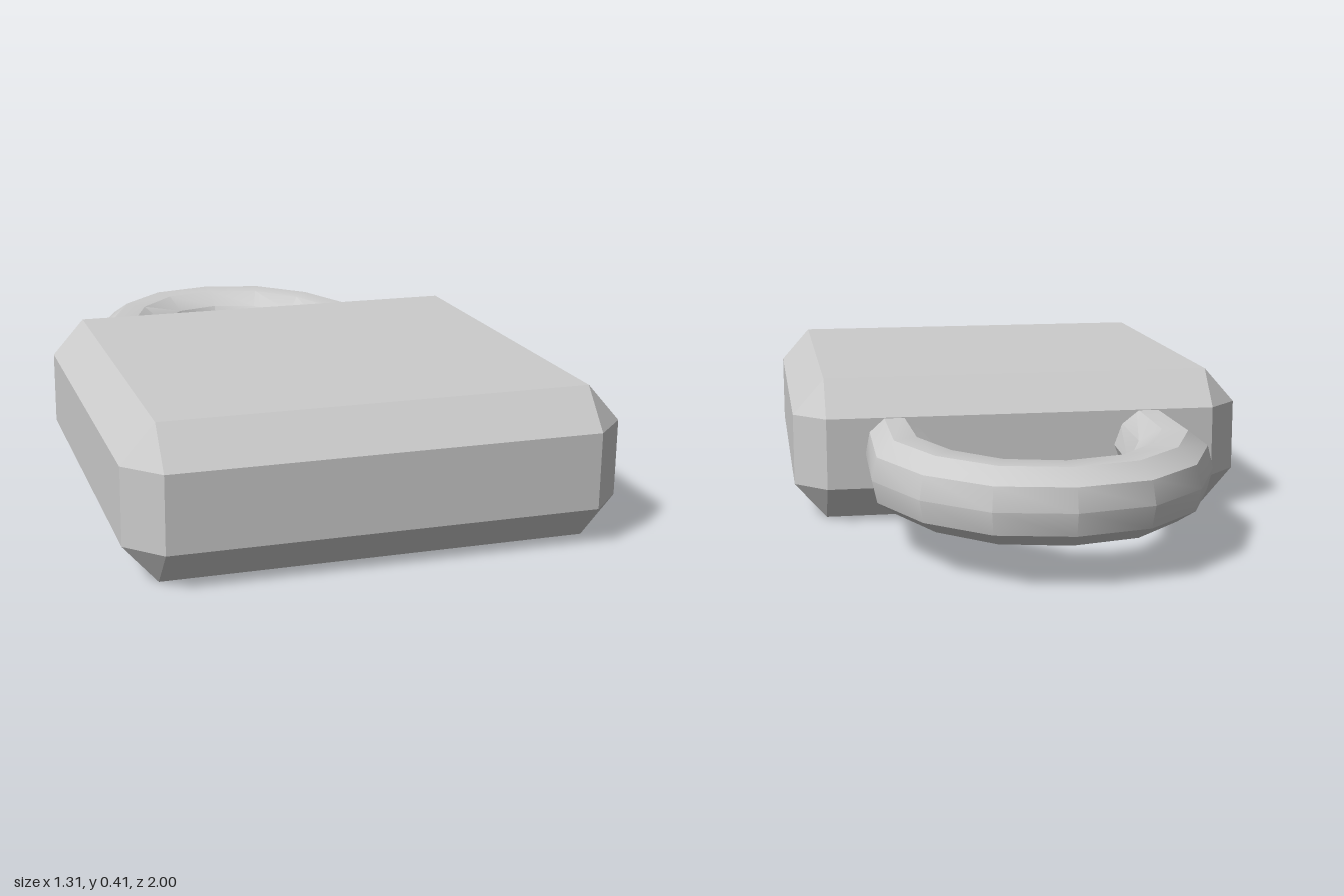
import * as THREE from 'three';
import { ConvexGeometry } from 'three/addons/geometries/ConvexGeometry.js';
import { toCreasedNormals } from 'three/addons/utils/BufferGeometryUtils.js';

const material = new THREE.MeshStandardMaterial({ color: 0xcccccc });

// Box with chamfered edges and triangular corners, centred on its origin
function chamferedBox(hx, hy, hz, bx, by, bz) {
  const points = [];
  for (const x of [-1, 1]) for (const y of [-1, 1]) for (const z of [-1, 1]) {
    points.push(
      new THREE.Vector3(x * hx, y * (hy - by), z * (hz - bz)),
      new THREE.Vector3(x * (hx - bx), y * hy, z * (hz - bz)),
      new THREE.Vector3(x * (hx - bx), y * (hy - by), z * hz));
  }
  return new ConvexGeometry(points);
}

// Ten-sided bar swept between an outer and an inner outline in the XZ plane
function shackleGeometry(outer, inner, y, radius, sides = 10) {
  const mirror = (half) => [...half, ...half.slice(0, -1).reverse().map(([x, z]) => [-x, z])];
  const out = mirror(outer), inn = mirror(inner);
  const positions = [], index = [];
  out.forEach(([ox, oz], i) => {
    const [ix, iz] = inn[i];
    for (let j = 0; j < sides; j++) {
      const a = (j / sides) * Math.PI * 2;
      // the crest leans a little towards the outside of the bend
      const t = 0.5 + 0.5 * (Math.cos(a) + 0.1 * Math.abs(Math.sin(a)));
      positions.push(ix + (ox - ix) * t, y + radius * Math.sin(a), iz + (oz - iz) * t);
    }
  });
  for (let i = 0; i < out.length - 1; i++) {
    for (let j = 0; j < sides; j++) {
      const k = (j + 1) % sides;
      const a = i * sides + j, b = i * sides + k, c = a + sides, d = b + sides;
      index.push(a, c, b, b, c, d);
    }
  }
  // end caps, hidden inside the body
  const last = (out.length - 1) * sides;
  for (let j = 1; j < sides - 1; j++) {
    index.push(0, j, j + 1, last, last + j + 1, last + j);
  }
  const geometry = new THREE.BufferGeometry();
  geometry.setAttribute('position', new THREE.Float32BufferAttribute(positions, 3));
  geometry.setIndex(index);
  // smooth along the bend, sharp along the bar's edges
  return toCreasedNormals(geometry, 0.55);
}

export function createModel() {
  const padlock = new THREE.Group();
  padlock.name = 'padlock';

  // Body lying flat
  const body = new THREE.Mesh(chamferedBox(0.655, 0.204, 0.617, 0.09, 0.102, 0.09), material);
  body.name = 'body';
  body.position.set(0, 0.204, 0.383);
  padlock.add(body);

  // Shackle: half outlines from the foot of the left leg to the top of the arch
  const outer = [[0.454, -0.2], [0.465, -0.575], [0.365, -0.805], [0.205, -0.955], [0, -1]];
  const inner = [[0.272, -0.2], [0.255, -0.46], [0.205, -0.605], [0.12, -0.715], [0, -0.755]];
  const shackle = new THREE.Mesh(shackleGeometry(outer, inner, 0.204, 0.105), material);
  shackle.name = 'shackle';
  padlock.add(shackle);

  return padlock;
}
